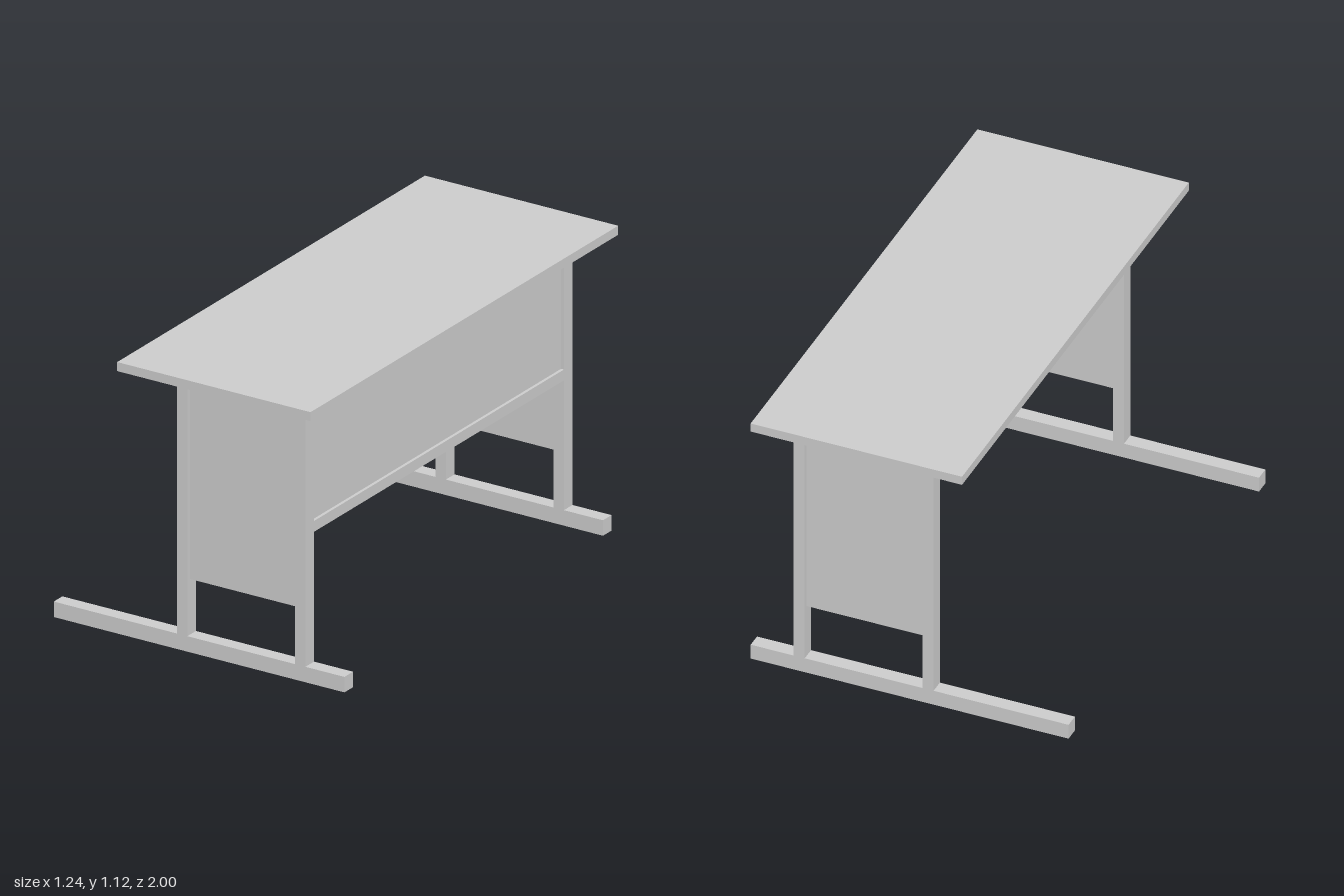
import * as THREE from 'three';

const material = new THREE.MeshStandardMaterial({ color: 0xcccccc });

// Box given by its minimum and maximum along each axis
function slab(name, [x0, x1], [y0, y1], [z0, z1]) {
  const mesh = new THREE.Mesh(new THREE.BoxGeometry(x1 - x0, y1 - y0, z1 - z0), material);
  mesh.name = name;
  mesh.position.set((x0 + x1) / 2, (y0 + y1) / 2, (z0 + z1) / 2);
  return mesh;
}

export function createModel() {
  const desk = new THREE.Group();
  desk.name = 'desk';

  const footTop = 0.06, topBottom = 1.085;
  const inner = 0.812, outer = 0.868;
  const rearLeg = [-0.093, -0.05], frontLeg = [0.408, 0.452];

  desk.add(slab('tabletop', [-0.262, 0.56], [topBottom, 1.12], [-1, 1]));

  // End frames: foot bar, two uprights and an inset side panel
  for (const side of [-1, 1]) {
    const span = (a, b) => (side > 0 ? [a, b] : [-b, -a]);
    const frame = new THREE.Group();
    frame.name = side > 0 ? 'frontEndFrame' : 'backEndFrame';
    frame.add(
      slab('footBar', [-0.618, 0.618], [0, footTop], span(inner, outer)),
      slab('innerUpright', rearLeg, [footTop, topBottom], span(inner, outer)),
      slab('outerUpright', frontLeg, [footTop, topBottom], span(inner, outer)),
      slab('sidePanel', [rearLeg[1], frontLeg[0]], [0.275, topBottom], span(0.83, 0.85)),
    );
    desk.add(frame);
  }

  // Long rail with the modesty panel standing on it
  desk.add(
    slab('rail', frontLeg, [0.563, 0.605], [-inner, inner]),
    slab('modestyPanel', [0.42, 0.44], [0.605, 1.067], [-inner, inner]),
  );
  return desk;
}
